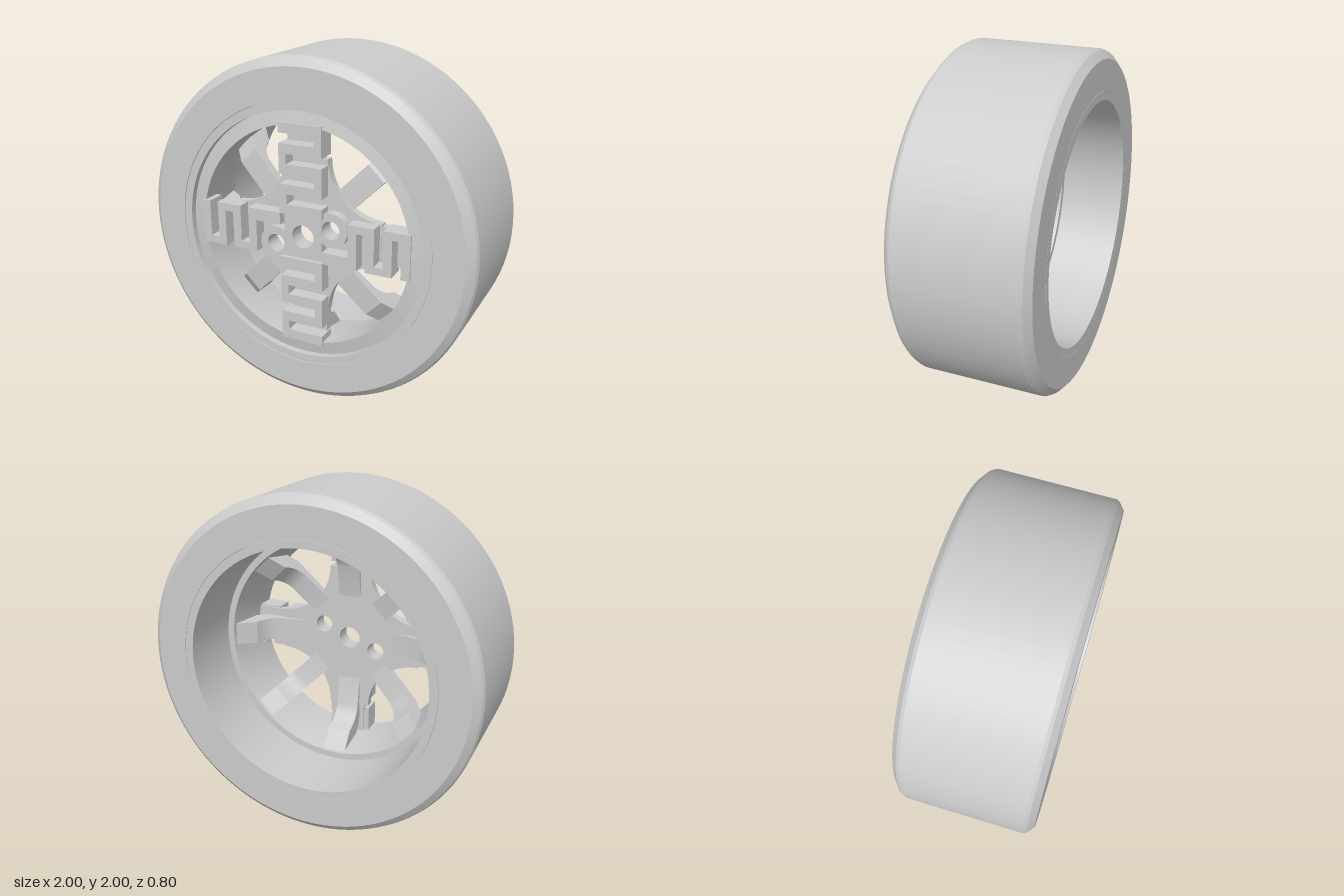
import * as THREE from 'three';
import { toCreasedNormals } from 'three/addons/utils/BufferGeometryUtils.js';

const material = new THREE.MeshStandardMaterial({ color: 0xcccccc });

function add(parent, name, geometry) {
  const mesh = new THREE.Mesh(geometry, material);
  mesh.name = name;
  parent.add(mesh);
  return mesh;
}

// Closed [radius, z] profile, counterclockwise, spun around the z axis
function ring(profile) {
  const points = [...profile, profile[0]].map(([r, z]) => new THREE.Vector2(r, z));
  const geometry = new THREE.LatheGeometry(points, 96).rotateX(Math.PI / 2);
  return toCreasedNormals(geometry, 0.4);
}

// Flat shape given thickness from z0 to z1
function plate(shape, z0, z1) {
  const geometry = new THREE.ExtrudeGeometry(shape, { depth: z1 - z0, bevelEnabled: false, curveSegments: 24 });
  return toCreasedNormals(geometry.translate(0, 0, z0), 0.5);
}

function box(x0, x1, y0, y1, z0, z1) {
  return new THREE.BoxGeometry(x1 - x0, y1 - y0, z1 - z0)
    .translate((x0 + x1) / 2, (y0 + y1) / 2, (z0 + z1) / 2);
}

function hole(shape, x, y, r) {
  shape.holes.push(new THREE.Path().absarc(x, y, r, 0, Math.PI * 2, true));
}

const PIN = [0.172, 0.066];
const RIB_BACK = 0.27, RIB_FRONT = 0.385;

export function createModel() {
  const model = new THREE.Group();
  model.name = 'wheel';
  const wheel = new THREE.Group();
  wheel.name = 'wheelAssembly';
  wheel.position.y = 1;
  model.add(wheel);

  // Tyre with chamfered shoulders
  add(wheel, 'tyre', ring([
    [0.77, -0.4], [0.948, -0.4], [0.99, -0.365], [1, -0.345],
    [1, 0.345], [0.99, 0.365], [0.948, 0.4], [0.77, 0.4],
  ]));

  // Rim: open barrel at the back, stepped lip at the front
  add(wheel, 'rim', ring([
    [0.72, -0.4], [0.768, -0.4], [0.768, 0.397], [0.72, 0.397], [0.72, 0.36],
    [0.64, 0.375], [0.64, 0.2], [0.68, 0], [0.72, 0],
  ]));

  // Hub plate with four hollowed sides
  const hub = new THREE.Shape();
  for (let i = 0; i < 4; i++) {
    const a = i * Math.PI / 2 + Math.PI / 4;
    const c = 0.45 * Math.SQRT2;
    hub.absarc(c * Math.cos(a), c * Math.sin(a), 0.32, a - Math.PI * 0.75, a - Math.PI * 1.25, true);
  }
  hole(hub, 0, 0, 0.067);
  hole(hub, PIN[0], PIN[1], 0.053);
  hole(hub, -PIN[0], -PIN[1], 0.053);
  add(wheel, 'hubPlate', plate(hub, 0.255, 0.305));

  // Raised centre block and the two pin bosses
  const s = 0.115;
  const centre = new THREE.Shape([[-s, -0.13], [s, -0.13], [s, 0.13], [-s, 0.13]].map(p => new THREE.Vector2(...p)));
  hole(centre, 0, 0, 0.067);
  add(wheel, 'hubCentre', plate(centre, 0.3, 0.36));
  for (const side of [1, -1]) {
    const boss = new THREE.Shape().absarc(side * PIN[0], side * PIN[1], 0.1, 0, Math.PI * 2);
    hole(boss, side * PIN[0], side * PIN[1], 0.053);
    add(wheel, side > 0 ? 'leftPinBoss' : 'rightPinBoss', plate(boss, 0.3, 0.359));
  }

  // Spoke side profile in (radius, z), flaring back to the rim
  const spokeSide = new THREE.Shape();
  spokeSide.moveTo(0.27, 0.3);
  spokeSide.lineTo(0.27, 0.255);
  spokeSide.lineTo(0.46, 0.225);
  spokeSide.quadraticCurveTo(0.54, 0.2, 0.57, 0.1);
  spokeSide.lineTo(0.672, 0.02);
  spokeSide.lineTo(0.65, 0.2);
  spokeSide.lineTo(0.56, 0.27);
  spokeSide.closePath();
  function spoke(width) {
    const geometry = new THREE.ExtrudeGeometry(spokeSide, { depth: width, bevelEnabled: false, curveSegments: 8 });
    return toCreasedNormals(geometry.translate(0, 0, -width / 2).rotateX(Math.PI / 2), 0.5);
  }

  for (let i = 0; i < 4; i++) {
    const angle = i * Math.PI / 2;
    add(wheel, 'diagonalSpoke', spoke(0.13)).rotation.z = angle + Math.PI / 4;

    // Straight arm: backing spoke, web and meander ribs, pointing up before turning
    const arm = new THREE.Group();
    arm.name = 'arm';
    arm.rotation.z = angle;
    wheel.add(arm);
    add(arm, 'armSpoke', spoke(0.14)).rotation.z = Math.PI / 2;
    add(arm, 'armWeb', box(-0.12, 0.1, 0.27, 0.645, 0.26, 0.3));

    // Cross ribs joined at alternating ends; the sideways arms start outside the pin bosses
    const sideways = i % 2 === 1;
    const start = sideways ? 0.285 : 0.13;
    const count = sideways ? 3 : 4;
    const pitch = (0.645 - start) / (count + 0.5);
    const half = pitch / 2;
    for (let k = 0; k <= count; k++) {
      const y = start + k * pitch;
      add(arm, 'crossRib', box(-0.13, 0.13, y, y + half, RIB_BACK, RIB_FRONT));
      if (k < count) {
        const x = k % 2 ? 0.085 : -0.13;
        add(arm, 'ribLink', box(x, x + 0.045, y + half, y + pitch, RIB_BACK, RIB_FRONT));
      }
    }
    if (sideways) add(arm, 'bossSideRib', box(0.06, 0.13, 0.13, start, RIB_BACK, RIB_FRONT));
  }

  return model;
}
